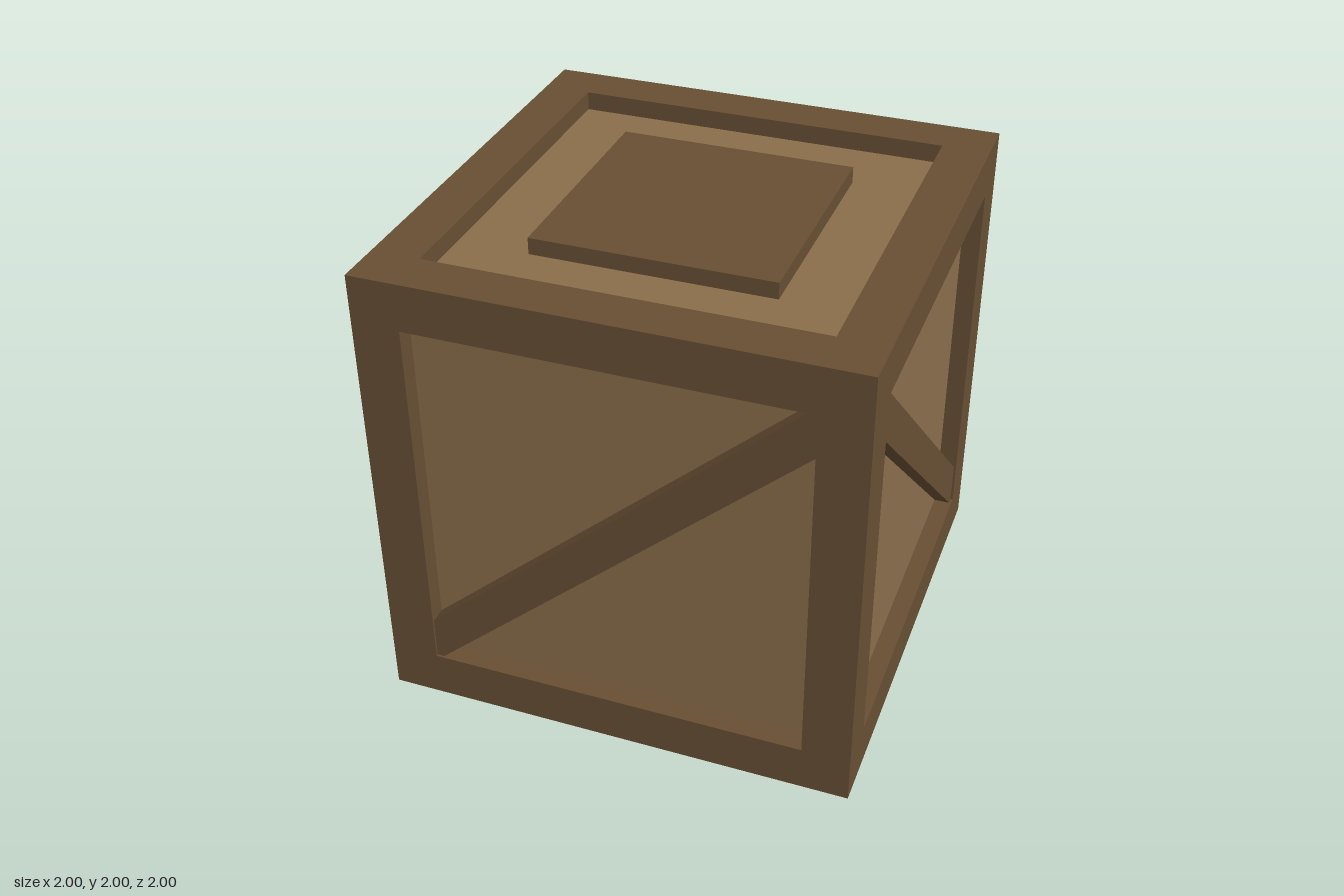
import * as THREE from 'three';

export function createModel() {
  const frameWood = new THREE.MeshStandardMaterial({ color: 0x684f34 });
  frameWood.name = 'dark wood';
  const panelWood = new THREE.MeshStandardMaterial({ color: 0x8b6e4c });
  panelWood.name = 'light wood';

  const crate = new THREE.Group();
  crate.name = 'crate';

  const box = (name, size, position, material, parent = crate) => {
    const mesh = new THREE.Mesh(new THREE.BoxGeometry(...size), material);
    mesh.name = name;
    mesh.position.set(...position);
    parent.add(mesh);
    return mesh;
  };

  const beam = 0.2;          // frame thickness
  const edge = 1 - beam / 2; // beam centre line
  const inner = 2 - 2 * beam;
  const panel = 0.92;        // distance of the recessed panels from the centre
  const braceFace = 0.99;    // outer face of the braces

  // Recessed panels
  box('panels', [panel * 2, panel * 2, panel * 2], [0, 1, 0], panelWood);

  // Frame: four posts, and rails between them at top and bottom
  for (const a of [-edge, edge]) {
    for (const b of [-edge, edge]) {
      box('cornerPost', [beam, 2, beam], [a, 1, b], frameWood);
      box('railAlongX', [inner, beam, beam], [0, 1 + a, b], frameWood);
      box('railAlongZ', [beam, beam, inner], [a, 1 + b, 0], frameWood);
    }
  }

  // Diagonal brace on each side, rising on front and back, falling on the others
  const depth = braceFace - panel + 0.02;
  for (let i = 0; i < 4; i++) {
    const side = new THREE.Group();
    side.name = ['frontBrace', 'leftBrace', 'backBrace', 'rightBrace'][i];
    side.rotation.y = i * Math.PI / 2;
    const brace = box('diagonalBrace', [2.4, 0.16, depth], [0, 1, braceFace - depth / 2], frameWood, side);
    brace.rotation.z = (i % 2 ? -1 : 1) * THREE.MathUtils.degToRad(42);
    crate.add(side);
  }

  // Square plate on the lid
  box('lidPlate', [1, 0.07, 1], [0, 1 + panel + 0.035, 0], frameWood);

  return crate;
}
